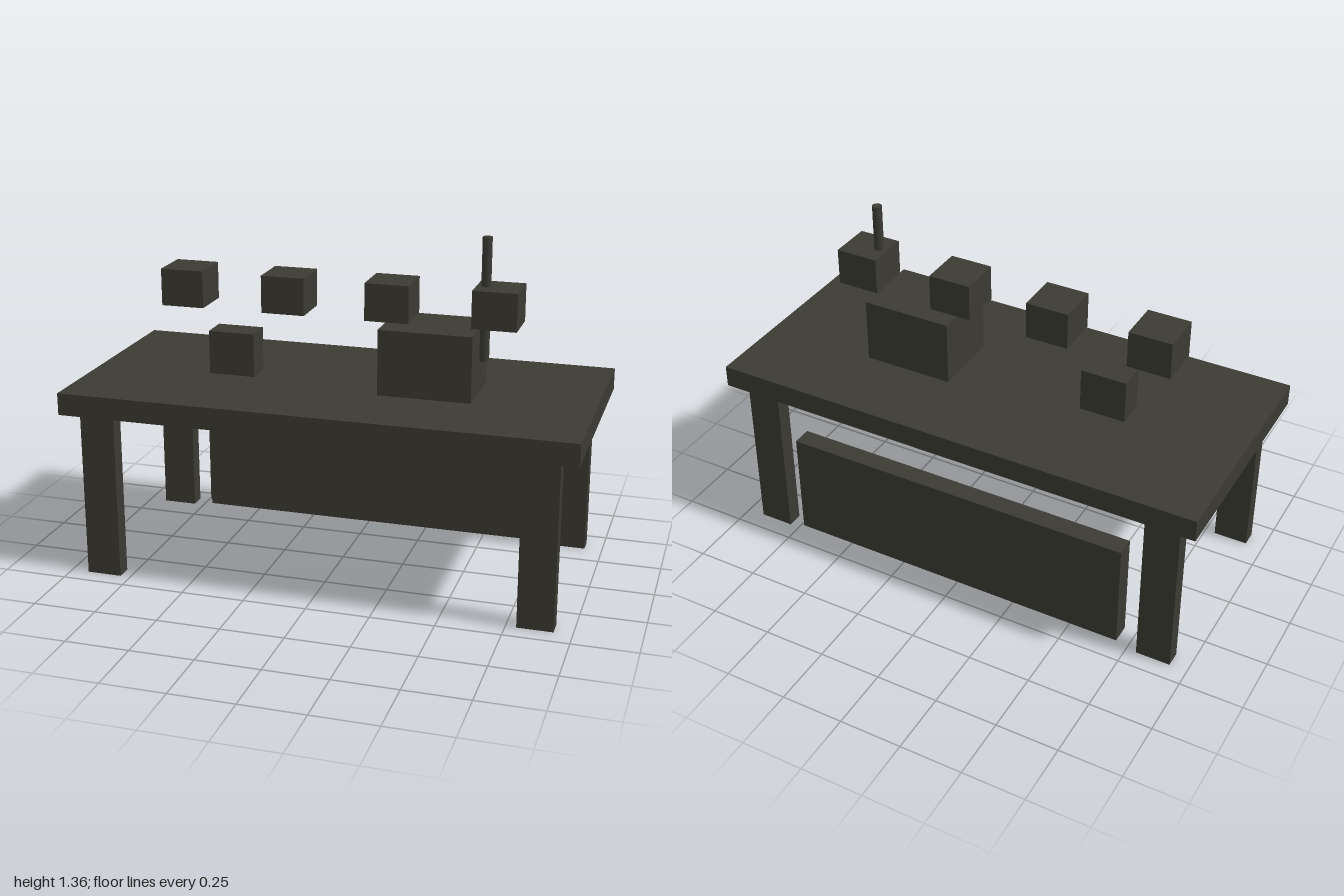
import * as THREE from 'three';

export function createModel() {
  const model = new THREE.Group();
  model.name = 'workTable';
  const charcoal = new THREE.MeshStandardMaterial({ name: 'charcoal', color: 0x3b3a33 });

  const add = (name, geometry, x, y, z) => {
    const mesh = new THREE.Mesh(geometry, charcoal);
    mesh.name = name;
    mesh.position.set(x, y, z);
    model.add(mesh);
  };
  // Box given by its extent along each axis
  const box = (name, [x0, x1], [y0, y1], [z0, z1]) =>
    add(name, new THREE.BoxGeometry(x1 - x0, y1 - y0, z1 - z0),
      (x0 + x1) / 2, (y0 + y1) / 2, (z0 + z1) / 2);

  // Table
  box('tableTop', [-1, 1], [0.665, 0.752], [-0.467, 0.467]);
  for (const [side, x] of [['left', 0.86], ['right', -0.86]]) {
    for (const [end, z] of [['Front', 0.395], ['Back', -0.395]]) {
      box(`${side}${end}Leg`, [x - 0.069, x + 0.069], [0, 0.665], [z - 0.032, z + 0.032]);
    }
  }

  // Layered panel between the back legs
  box('backPanel', [-0.712, 0.712], [0.035, 0.47], [-0.438, -0.36]);
  box('frontPanel', [-0.7, 0.7], [0.023, 0.447], [-0.375, -0.34]);

  // Items standing on the table
  box('smallBlock', [-0.535, -0.35], [0.752, 0.926], [-0.056, 0.056]);
  box('largeBlock', [0.177, 0.54], [0.752, 1.01], [-0.142, 0.142]);
  add('post', new THREE.CylinderGeometry(0.019, 0.019, 0.48, 12), 0.558, 1.12, 0);

  // Row of floating blocks
  for (let i = 0; i < 4; i++) {
    const x = -0.631 + i * 0.413;
    box(`floatingBlock${i + 1}`, [x - 0.086, x + 0.086], [1.025, 1.172], [-0.086, 0.086]);
  }

  return model;
}
